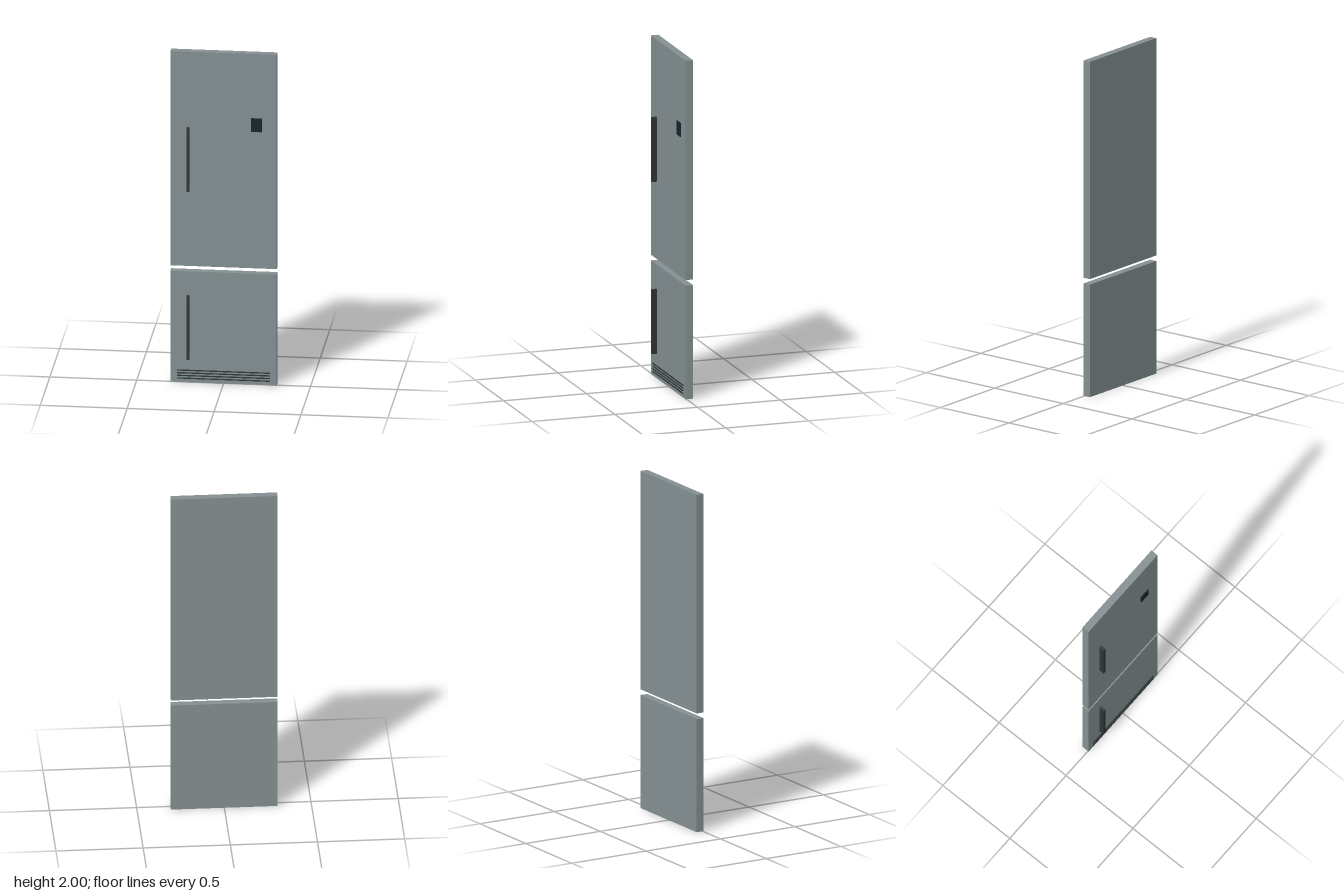
import * as THREE from 'three';

export function createModel() {
  const model = new THREE.Group();
  const steel = new THREE.MeshStandardMaterial({ color: 0x859092 });
  const dark = new THREE.MeshStandardMaterial({ color: 0x2e3634 });
  const glass = new THREE.MeshStandardMaterial({ color: 0x18242a });

  // Box given by its lower and upper limits on each axis
  function box(name, material, [x0, x1], [y0, y1], [z0, z1], parent) {
    const mesh = new THREE.Mesh(new THREE.BoxGeometry(x1 - x0, y1 - y0, z1 - z0), material);
    mesh.position.set((x0 + x1) / 2, (y0 + y1) / 2, (z0 + z1) / 2);
    mesh.name = name;
    parent.add(mesh);
  }

  const front = 0.005;
  const doors = [
    { name: 'upperDoor', y: [0.704, 2], handle: [1.163, 1.544] },
    { name: 'lowerDoor', y: [0, 0.671], handle: [0.146, 0.527] },
  ];

  // Door slabs, each with a vertical bar handle
  for (const { name, y, handle } of doors) {
    const door = new THREE.Group();
    door.name = name;
    box(name + 'Panel', steel, [-0.306, 0.306], y, [-0.04, front], door);
    box(name + 'Handle', dark, [-0.211, -0.195], handle, [front, 0.038], door);
    model.add(door);
  }

  // Small control display on the upper door
  box('display', glass, [0.157, 0.22], [1.53, 1.612], [front, 0.01], model);

  // Ventilation slats along the foot of the lower door
  const vent = new THREE.Group();
  vent.name = 'ventGrille';
  for (let i = 0; i < 4; i++) {
    const y = 0.025 + i * 0.016;
    box('ventSlat', dark, [-0.266, 0.266], [y - 0.003, y + 0.003], [front, 0.01], vent);
  }
  model.add(vent);

  return model;
}
